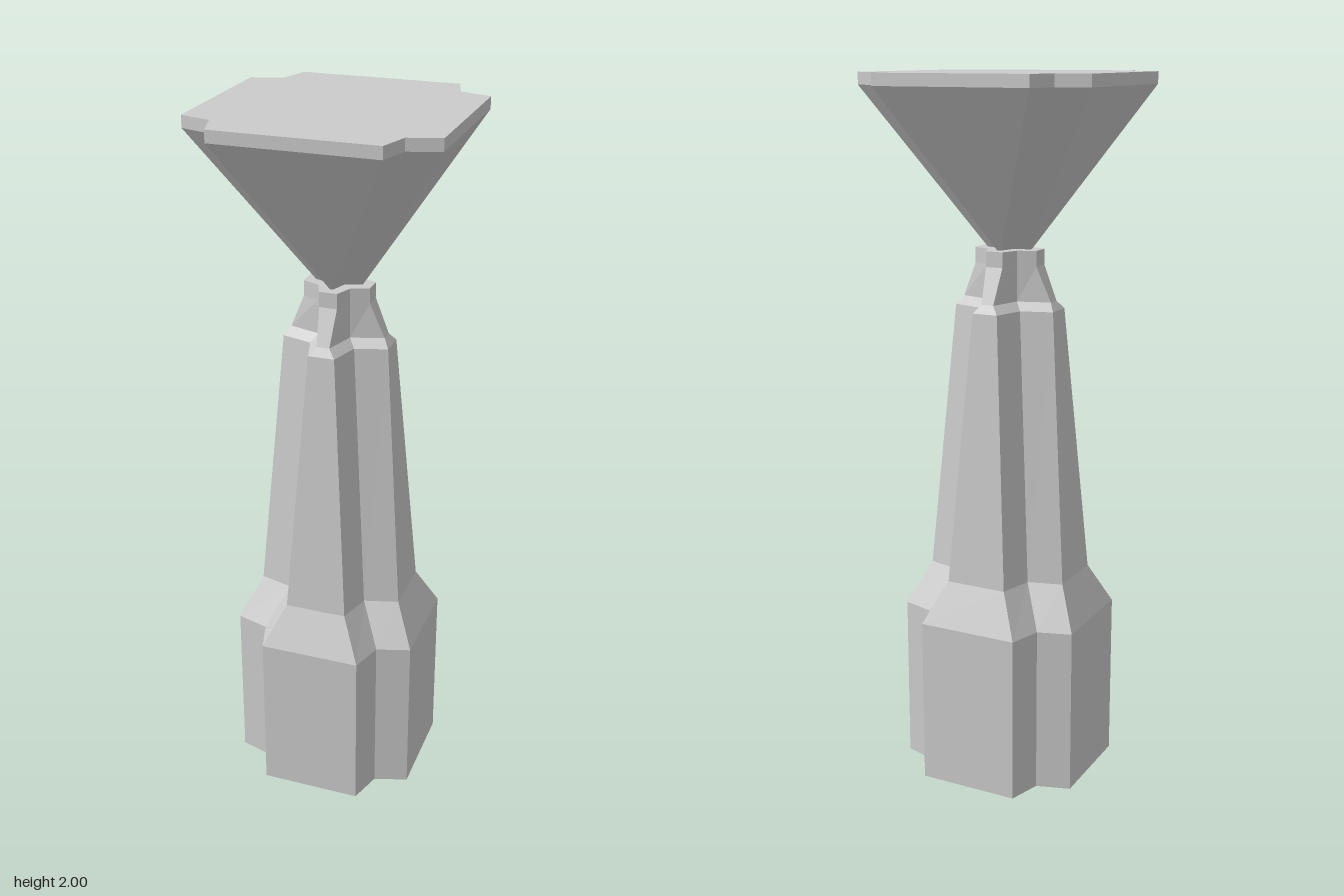
import * as THREE from 'three';

// Cross-shaped section: h = reach of each arm, f = half width of its flat face, n = inner notch corner
function section([y, h, f, n]) {
  const points = [];
  for (let k = 0; k < 4; k++) {
    const c = Math.round(Math.cos(k * Math.PI / 2)), s = Math.round(Math.sin(k * Math.PI / 2));
    for (const [x, z] of [[-f, h], [f, h], [n, n]]) points.push([x * c + z * s, y, z * c - x * s]);
  }
  return points;
}

// Closed loft through sections listed from bottom to top
function loft(name, levels, material) {
  const rings = levels.map(section), count = 12;
  const positions = rings.flat(2), index = [];
  for (let r = 0; r < rings.length - 1; r++) {
    for (let i = 0; i < count; i++) {
      const a = r * count + i, b = r * count + (i + 1) % count;
      index.push(a, b, b + count, a, b + count, a + count);
    }
  }
  // End caps fan out from a centre point
  const bottom = positions.length / 3, top = bottom + 1, last = (rings.length - 1) * count;
  positions.push(0, levels[0][0], 0, 0, levels[levels.length - 1][0], 0);
  for (let i = 0; i < count; i++) {
    const j = (i + 1) % count;
    index.push(bottom, j, i, top, last + i, last + j);
  }
  const indexed = new THREE.BufferGeometry();
  indexed.setAttribute('position', new THREE.Float32BufferAttribute(positions, 3));
  indexed.setIndex(index);
  const geometry = indexed.toNonIndexed();
  geometry.computeVertexNormals();
  const mesh = new THREE.Mesh(geometry, material);
  mesh.name = name;
  return mesh;
}

export function createModel() {
  const model = new THREE.Group();
  model.name = 'pedestal';
  const material = new THREE.MeshStandardMaterial({ color: 0xcccccc, flatShading: true });

  // Straight foot, sloped shoulder, tapering shaft, bevel and narrow neck
  model.add(loft('column', [
    [0, 0.267, 0.144, 0.173],
    [0.48, 0.267, 0.144, 0.173],
    [0.6, 0.211, 0.088, 0.115],
    [1.365, 0.151, 0.037, 0.063],
    [1.388, 0.135, 0.018, 0.045],
    [1.485, 0.094, 0.025, 0.045],
    [1.528, 0.094, 0.025, 0.045],
  ], material));

  // Flared head with a thin flat rim
  model.add(loft('head', [
    [1.528, 0.066, 0.005, 0.02],
    [1.967, 0.338, 0.224, 0.25],
    [2, 0.338, 0.224, 0.25],
  ], material));

  return model;
}
